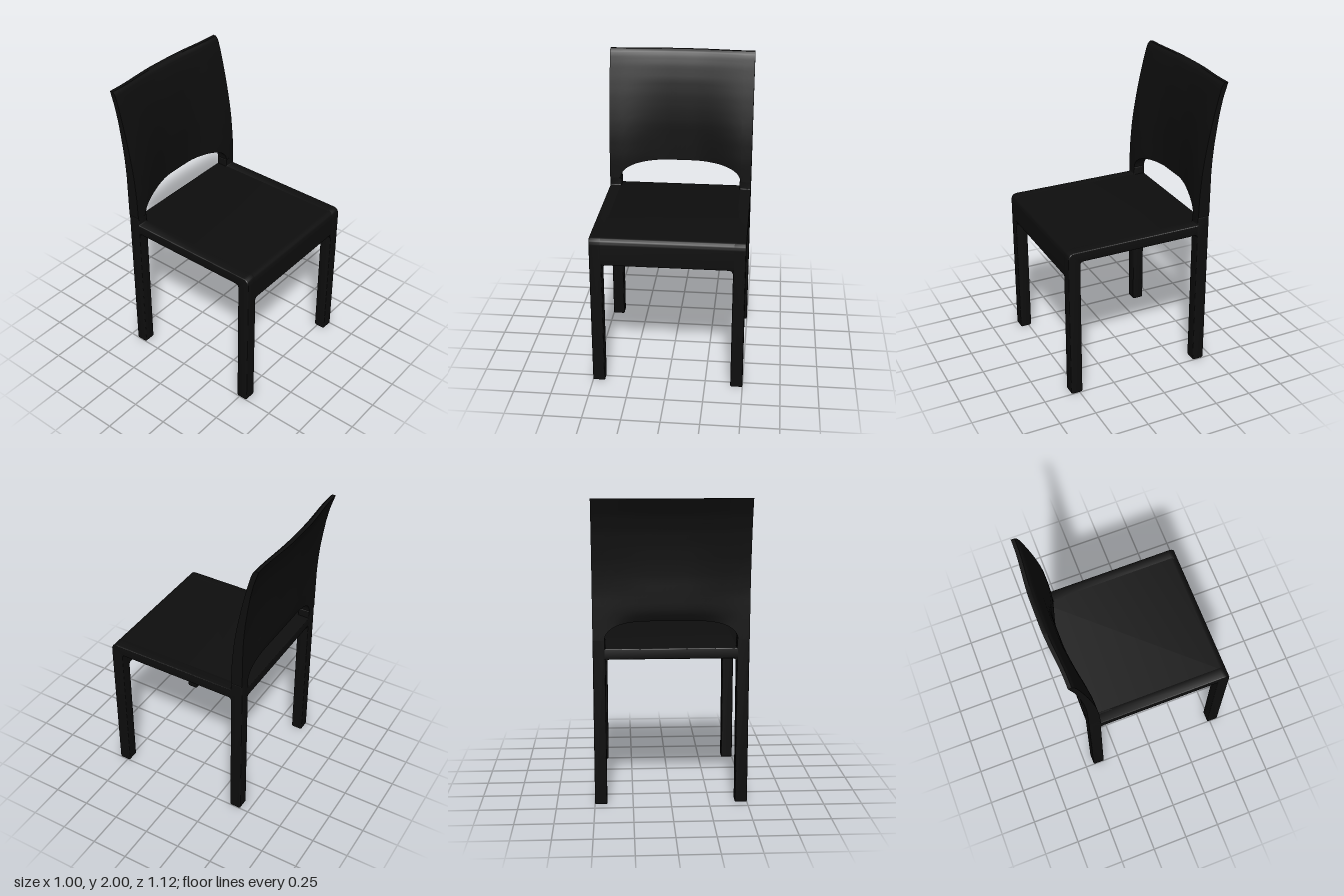
import * as THREE from 'three';
import { toCreasedNormals, mergeVertices } from 'three/addons/utils/BufferGeometryUtils.js';

// Closed outline from [x, y, cornerRadius] points
function roundedShape(pts) {
  const shape = new THREE.Shape();
  pts.forEach(([x, y, r = 0], i) => {
    const p = new THREE.Vector2(x, y);
    const toward = ([nx, ny]) => new THREE.Vector2(nx, ny).sub(p).setLength(r).add(p);
    const a = toward(pts[(i + pts.length - 1) % pts.length]);
    const b = toward(pts[(i + 1) % pts.length]);
    if (i === 0) shape.moveTo(a.x, a.y); else shape.lineTo(a.x, a.y);
    if (r > 0) shape.quadraticCurveTo(x, y, b.x, b.y);
  });
  shape.closePath();
  return shape;
}

// Extrude a (z, y) outline along x, centred on x = 0
function extrudeAcross(pts, width, bevel = 0) {
  const geo = new THREE.ExtrudeGeometry(roundedShape(pts), {
    depth: width - 2 * bevel, bevelEnabled: bevel > 0, bevelSize: bevel,
    bevelThickness: bevel, bevelOffset: -bevel, bevelSegments: 3, curveSegments: 8,
  });
  geo.translate(0, 0, -(width - 2 * bevel) / 2).rotateY(-Math.PI / 2);
  return toCreasedNormals(geo, 0.6);
}

// Piecewise profile lookup: table of [y, z]
function profile(table, y) {
  if (y <= table[0][0]) return table[0][1];
  for (let i = 1; i < table.length; i++) {
    const [y0, z0] = table[i - 1], [y1, z1] = table[i];
    if (y <= y1) return z0 + (z1 - z0) * (y - y0) / (y1 - y0);
  }
  return table[table.length - 1][1];
}

const sideFront = [[1.1, -0.36], [1.25, -0.364], [1.4, -0.376], [1.5, -0.389], [1.6, -0.406],
  [1.7, -0.425], [1.8, -0.447], [1.9, -0.471], [1.96, -0.488], [1.985, -0.498], [2, -0.513]];
const sideRear = [[1.1, -0.44], [1.4, -0.442], [1.5, -0.447], [1.6, -0.456], [1.7, -0.469],
  [1.8, -0.484], [1.9, -0.505], [2, -0.536]];
const midFront = [[1.22, -0.43], [1.5, -0.436], [1.6, -0.443], [1.7, -0.453], [1.8, -0.467],
  [1.9, -0.488], [1.96, -0.506], [1.985, -0.517], [2, -0.535]];
const midRear = [[1.22, -0.446], [1.24, -0.454], [1.28, -0.46], [1.5, -0.466], [1.6, -0.474],
  [1.7, -0.485], [1.8, -0.5], [1.9, -0.522], [2, -0.56]];

// Bowed back panel: front and rear skins joined into a ring per column
function backPanelGeometry() {
  const inner = 0.425, cols = 40, rows = 32;
  const xs = [-0.5, -0.46];
  for (let i = 0; i <= cols; i++) xs.push(inner * Math.sin((i / cols - 0.5) * Math.PI));
  xs.push(0.46, 0.5);
  const pos = [], idx = [], ring = 2 * (rows + 1);
  for (const x of xs) {
    const ax = Math.min(1, Math.abs(x) / inner);
    const bottom = 1.1 + 0.125 * Math.sqrt(Math.max(0, 1 - ax ** 4));
    const bow = 1 - THREE.MathUtils.smoothstep(Math.abs(x), 0.08, 0.46);
    for (let k = 0; k < ring; k++) {
      const front = k <= rows;
      const v = (front ? k : ring - 1 - k) / rows;
      const y = bottom + (2 - bottom) * Math.sin(v * Math.PI / 2);
      const side = profile(front ? sideFront : sideRear, y);
      const mid = profile(front ? midFront : midRear, y);
      pos.push(x, y, side + (mid - side) * bow);
    }
  }
  const last = (xs.length - 1) * ring;
  for (let i = 0; i < xs.length - 1; i++) {
    for (let k = 0; k < ring; k++) {
      const a = i * ring + k, d = i * ring + (k + 1) % ring;
      idx.push(a, a + ring, d + ring, a, d + ring, d);
    }
  }
  // End faces
  for (let k = 0; k < rows; k++) {
    const f = k, b = ring - 1 - k;
    idx.push(last + f, last + b, last + b - 1, last + f, last + b - 1, last + f + 1);
    idx.push(f, b - 1, b, f, f + 1, b - 1);
  }
  const geo = new THREE.BufferGeometry();
  geo.setAttribute('position', new THREE.Float32BufferAttribute(pos, 3));
  geo.setIndex(idx);
  return toCreasedNormals(geo, 0.7);
}

// Shallow bulge under the seat
function bellyGeometry() {
  const geo = new THREE.PlaneGeometry(0.86, 0.84, 20, 20).rotateX(Math.PI / 2);
  const p = geo.attributes.position;
  for (let i = 0; i < p.count; i++) {
    const u = p.getX(i) / 0.43, s = p.getZ(i) / 0.42;
    p.setY(i, 0.975 - 0.04 * (1 - s * s) * (1 - u ** 4));
  }
  geo.translate(0, 0, 0.06);
  geo.deleteAttribute('normal');
  geo.deleteAttribute('uv');
  const smooth = mergeVertices(geo);
  smooth.computeVertexNormals();
  return smooth;
}

export function createModel() {
  const black = new THREE.MeshStandardMaterial({ color: 0x0e0e0e });
  black.name = 'black plastic';
  const chair = new THREE.Group();
  chair.name = 'chair';
  const add = (name, geo, x = 0, y = 0, z = 0) => {
    const mesh = new THREE.Mesh(geo, black);
    mesh.name = name;
    mesh.position.set(x, y, z);
    chair.add(mesh);
    return mesh;
  };

  // Side frames: front leg, seat rail and back leg in one outline
  const frame = extrudeAcross([
    [0.56, 0, 0.015], [0.56, 1.045, 0.045], [-0.36, 1.045, 0.008], [-0.36, 1.1], [-0.44, 1.1],
    [-0.44, 0, 0.015], [-0.36, 0, 0.015], [-0.36, 0.975, 0.025], [0.48, 0.975, 0.025], [0.48, 0, 0.015],
  ], 0.08, 0.006);
  add('leftSideFrame', frame, 0.46);
  add('rightSideFrame', frame, -0.46);

  // Seat with front apron
  add('seat', extrudeAcross([
    [0.56, 0.86, 0.008], [0.56, 1.045, 0.045], [-0.44, 1.045, 0.008], [-0.44, 0.975, 0.008],
    [0.48, 0.975, 0.02], [0.48, 0.86, 0.008],
  ], 0.87));
  add('seatBelly', bellyGeometry());

  // Small corner fillets where the legs meet apron and seat
  for (const s of [1, -1]) {
    const corner = new THREE.Shape();
    corner.moveTo(0, 0);
    corner.lineTo(0, -0.035);
    corner.quadraticCurveTo(-s * 0.002, -0.002, -s * 0.03, 0);
    corner.closePath();
    const fillet = new THREE.ExtrudeGeometry(corner, { depth: 0.07, bevelEnabled: false, curveSegments: 6 });
    const side = s > 0 ? 'left' : 'right';
    add(side + 'FrontFillet', fillet, s * 0.421, 0.861, 0.485);
    add(side + 'BackFillet', fillet, s * 0.421, 0.976, -0.435);
  }

  add('backPanel', backPanelGeometry());
  return chair;
}
